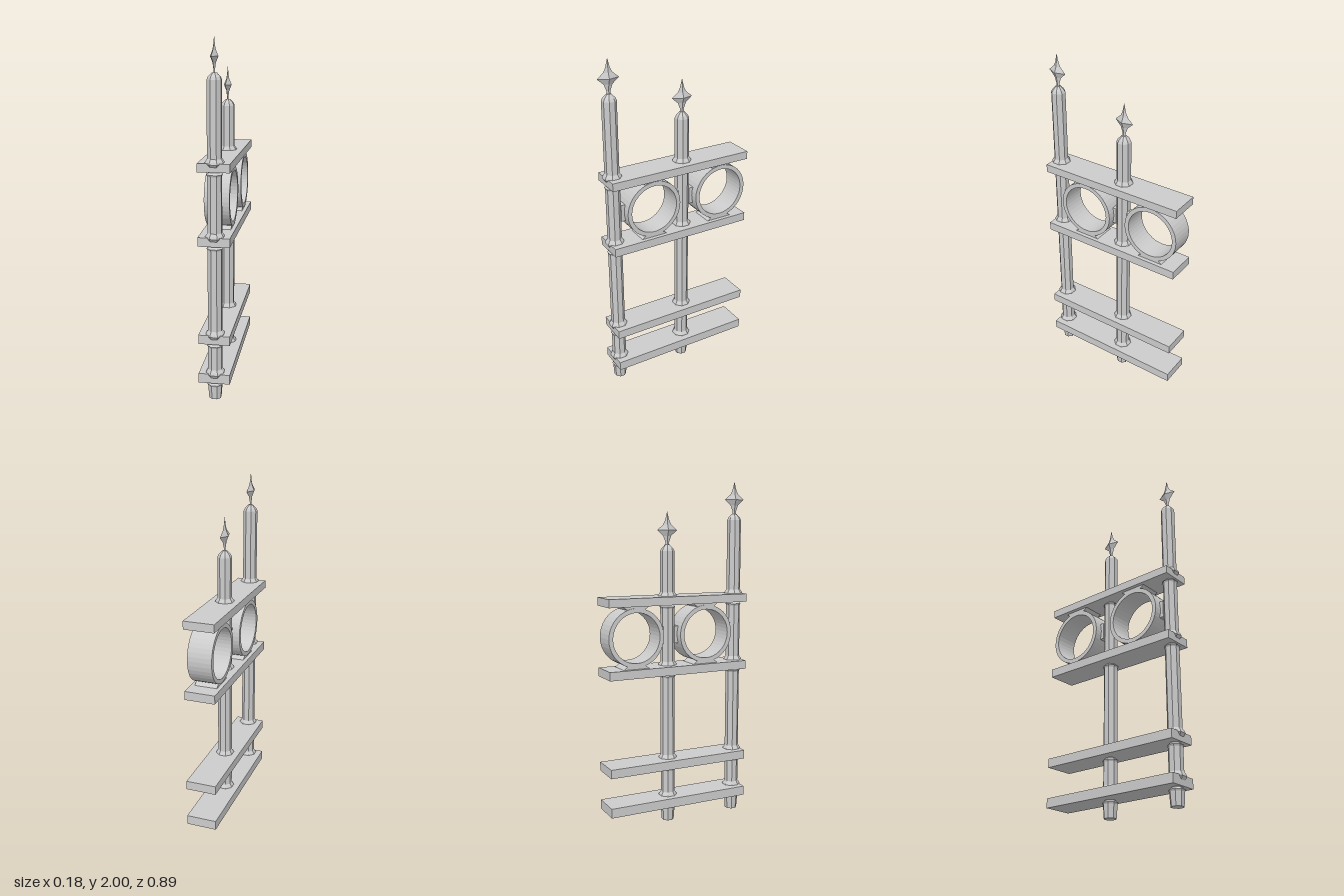
import * as THREE from 'three';

const material = new THREE.MeshStandardMaterial({ color: 0xcccccc, flatShading: true, side: THREE.DoubleSide });

function part(name, geometry, x = 0, y = 0, z = 0) {
  const mesh = new THREE.Mesh(geometry, material);
  mesh.name = name;
  mesh.position.set(x, y, z);
  return mesh;
}

const lathe = (points, sides) =>
  new THREE.LatheGeometry(points.map(([r, y]) => new THREE.Vector2(r, y)), sides);

// Bottom and top heights of the four rails
const rails = [[0.10, 0.155], [0.333, 0.385], [0.895, 0.945], [1.30, 1.347]];

// Faceted post: narrow neck under each rail, small flare above it, flat-bladed finial on top
function makePost(top, z) {
  const post = new THREE.Group();
  post.name = 'post';
  const r = 0.041;
  const profile = [[0, 0], [0.036, 0], [r, 0.07]];
  for (const [low, high] of rails) {
    profile.push([r, low - 0.025], [0.046, low - 0.015], [0.03, low - 0.003], [0.03, low + 0.01]);
    profile.push([0.056, high - 0.005], [0.052, high + 0.006], [r, high + 0.022]);
  }
  profile.push([r, top], [0.034, top + 0.014], [0.014, top + 0.035], [0, top + 0.035]);
  const shaft = part('shaft', lathe(profile, 8));
  shaft.rotation.y = Math.PI / 8;

  const finial = part('finial', lathe(
    [[0.013, 0.025], [0.011, 0.05], [0.024, 0.085], [0.06, 0.117], [0.025, 0.147], [0.013, 0.17], [0, 0.222]], 4), 0, top);
  finial.scale.x = 0.38;
  finial.rotation.y = -0.1;

  post.add(shaft, finial);
  post.position.z = z;
  return post;
}

// Wide ring set between the two upper rails, its axis along x
function makeRing(z) {
  const ring = new THREE.Group();
  ring.name = 'ring';
  const shape = new THREE.Shape().absarc(0, 0, 0.168, 0, Math.PI * 2, false);
  shape.holes.push(new THREE.Path().absarc(0, 0, 0.143, 0, Math.PI * 2, true));
  const geometry = new THREE.ExtrudeGeometry(shape, { depth: 0.14, bevelEnabled: false, curveSegments: 20 });
  geometry.translate(0, 0, -0.07).rotateY(Math.PI / 2);
  ring.add(part('band', geometry));

  // Wedges that join the band to the rails
  for (const s of [-1, 1]) {
    const wedge = new THREE.Shape([
      new THREE.Vector2(-0.08, s * 0.178), new THREE.Vector2(0.08, s * 0.178),
      new THREE.Vector2(0.05, s * 0.155), new THREE.Vector2(-0.05, s * 0.155)]);
    const g = new THREE.ExtrudeGeometry(wedge, { depth: 0.13, bevelEnabled: false });
    g.translate(0, 0, -0.065).rotateY(Math.PI / 2);
    ring.add(part('railJoint', g));
  }
  ring.position.set(0, 1.122, z);
  return ring;
}

export function createModel() {
  const model = new THREE.Group();
  model.name = 'fenceSection';

  for (const [low, high] of rails) {
    model.add(part('rail', new THREE.BoxGeometry(0.176, high - low, 0.875), 0, (low + high) / 2, -0.007));
  }

  // Tall front post and shorter middle post
  model.add(makePost(1.778, 0.39), makePost(1.602, -0.05));

  model.add(makeRing(0.168), makeRing(-0.273));

  // Small pads where the rings touch the posts
  for (const z of [0.342, -0.003, -0.1]) {
    model.add(part('postJoint', new THREE.BoxGeometry(0.05, 0.1, 0.025), 0, 1.122, z));
  }
  return model;
}
